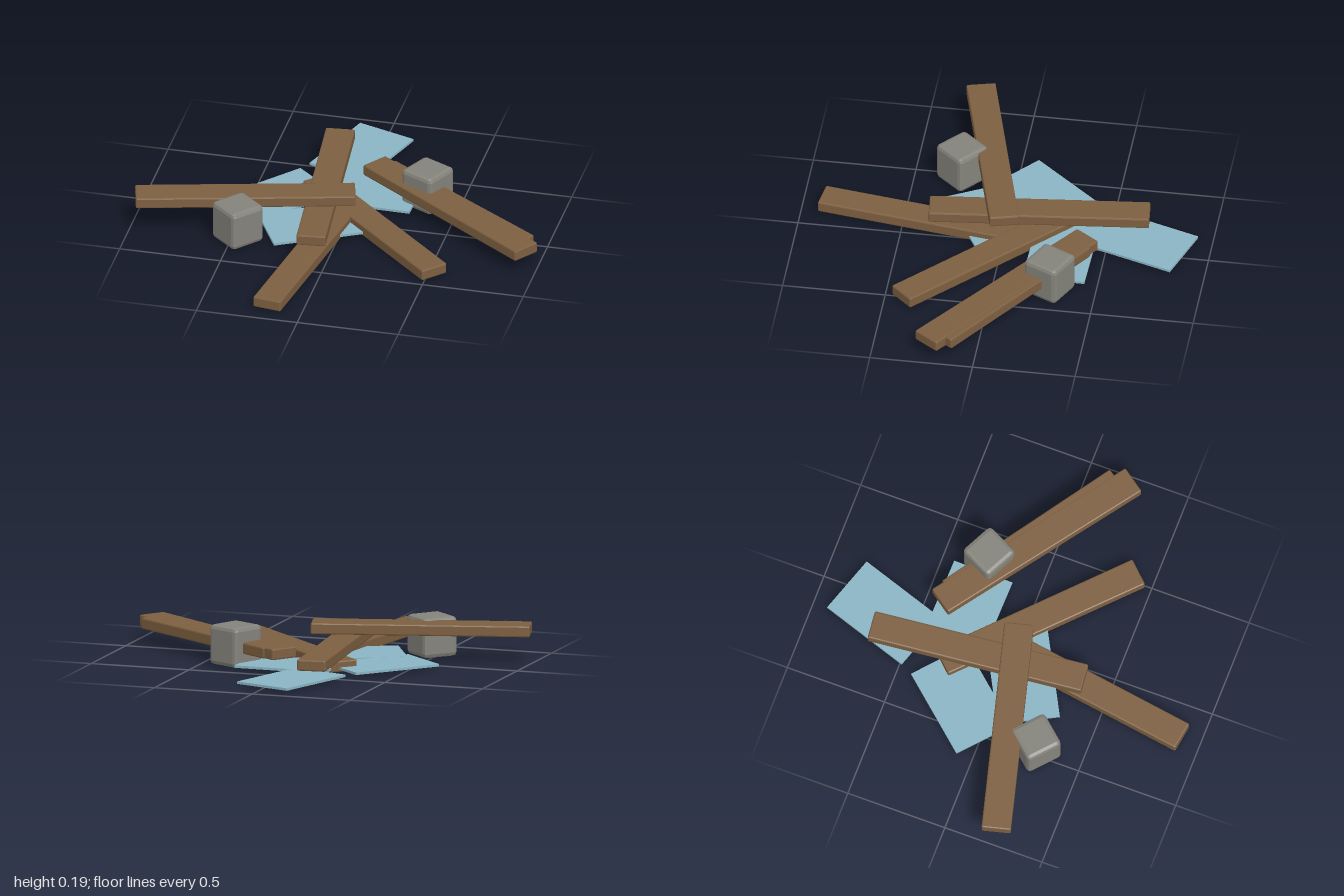
import * as THREE from 'three';
import { RoundedBoxGeometry } from 'three/addons/geometries/RoundedBoxGeometry.js';

const material = (name, color) => {
  const m = new THREE.MeshStandardMaterial({ color, flatShading: true });
  m.name = name;
  return m;
};

export function createModel() {
  const wood = material('weathered wood', 0x7d5f40);
  const stone = material('grey stone', 0x84837b);
  const glass = material('pale blue sheet', 0x8ab4c3);
  const group = new THREE.Group();
  group.name = 'debrisPile';

  const add = (name, geometry, mat, x, y, z, angle) => {
    const mesh = new THREE.Mesh(geometry, mat);
    mesh.name = name;
    mesh.position.set(x, y, z);
    mesh.rotation.y = angle;
    group.add(mesh);
  };

  // A bevelled plank laid between the midpoints of its two ends
  const plank = (name, [x0, z0], [x1, z1], base) => {
    const length = Math.hypot(x1 - x0, z1 - z0);
    add(name, new RoundedBoxGeometry(length, 0.055, 0.142, 1, 0.007), wood,
      (x0 + x1) / 2, base + 0.0275, (z0 + z1) / 2, Math.atan2(z0 - z1, x1 - x0));
  };

  // Planks on the ground
  plank('frontPlank', [-0.173, 0.91], [-0.015, -0.14], 0);
  plank('diagonalPlank', [-0.225, -0.308], [0.54, 0.417], 0.002);
  // Planks resting on the first layer
  plank('crossPlank', [-0.19, -0.685], [-0.083, 0.373], 0.067);
  plank('sidePlank', [0.041, -0.418], [0.951, 0.235], 0.067);
  plank('sidePlankDouble', [0.1, -0.387], [0.92, 0.168], 0.066);
  // Plank on top of the pile
  plank('topPlank', [-0.98, 0.256], [0.045, -0.012], 0.13);

  // Thin broken sheets: centre x, centre z, turn of the long side
  const sheets = [
    [-0.08, -0.66, 1.25],
    [0.055, -0.292, -0.02],
    [-0.365, -0.155, 0.855],
    [-0.147, 0.078, 0.492],
  ];
  sheets.forEach(([x, z, angle], i) =>
    add(`sheet${i + 1}`, new THREE.BoxGeometry(0.462, 0.012, 0.302), glass,
      x, 0.018 + i * 0.0005, z, angle));

  // Bevelled stone blocks: centre x, centre z, turn
  [[-0.47, 0.27, -0.72], [0.34, -0.278, -0.46]].forEach(([x, z, angle], i) =>
    add(`stone${i + 1}`, new RoundedBoxGeometry(0.184, 0.195, 0.184, 1, 0.02), stone,
      x, 0.0975, z, angle));

  return group;
}
